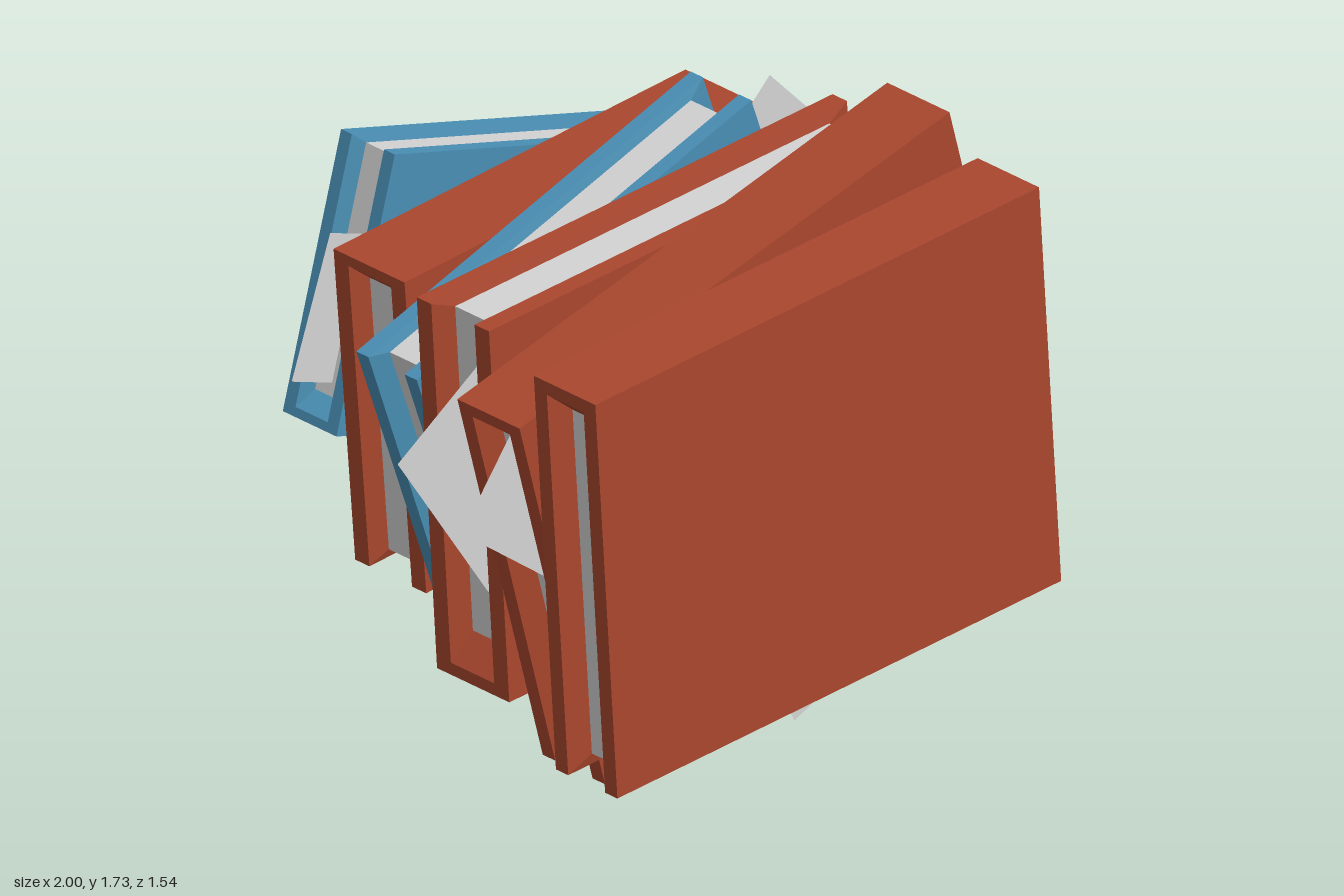
import * as THREE from 'three';

const red = new THREE.MeshStandardMaterial({ color: 0xaa472e });
red.name = 'red cover';
const blue = new THREE.MeshStandardMaterial({ color: 0x4a8fb4 });
blue.name = 'blue cover';
const paper = new THREE.MeshStandardMaterial({ color: 0xd4d4d4 });
paper.name = 'paper';
const sheetPaper = paper.clone();
sheetPaper.name = 'loose paper';
sheetPaper.side = THREE.DoubleSide;

// Board lying in xy from z = 0: full size up to `edge`, then sloping inwards
// to `thick`, with separate insets at the sides, bottom and top.
function board(w, h, edge, thick, side, bottom, top) {
  const geo = new THREE.BoxGeometry(w, h, 2, 1, 1, 2);
  const p = geo.attributes.position;
  for (let i = 0; i < p.count; i++) {
    const layer = Math.round(p.getZ(i)) + 1;
    p.setZ(i, [0, edge, thick][layer]);
    if (layer === 2) {
      p.setX(i, p.getX(i) - Math.sign(p.getX(i)) * side);
      p.setY(i, p.getY(i) + (p.getY(i) < 0 ? bottom : -top));
    }
  }
  const flat = geo.toNonIndexed();
  flat.computeVertexNormals();
  return flat;
}

function named(name, geo, mat) {
  const mesh = new THREE.Mesh(geo, mat);
  mesh.name = name;
  return mesh;
}

// Book standing in the xy plane, spine along its bottom edge
function makeBook(w, h, t, mat) {
  const book = new THREE.Group();
  const side = 0.05 * w, open = 0.03 * h;
  const spineEdge = 0.033 * h, spineIn = 0.096 * h;
  const coverEdge = 0.2 * t, coverIn = 0.235 * t;

  // front and back covers
  for (const s of [1, -1]) {
    const cover = named(s > 0 ? 'frontCover' : 'backCover',
      board(w, h, coverEdge, coverIn, side, spineEdge, open), mat);
    cover.position.z = s * t / 2;
    if (s > 0) cover.rotation.y = Math.PI;
    book.add(cover);
  }
  // spine between the covers
  const spine = named('spine',
    board(w, t - 2 * coverEdge, spineEdge, spineIn, side, coverIn - coverEdge, coverIn - coverEdge), mat);
  spine.rotation.x = -Math.PI / 2;
  spine.position.y = -h / 2;
  book.add(spine);
  // page block
  const pageH = h - open - spineIn;
  const pages = named('pages', new THREE.BoxGeometry(w - 2 * side, pageH, t - 2 * coverIn), paper);
  pages.position.y = h / 2 - open - pageH / 2;
  book.add(pages);
  return book;
}

// Loose sheet given by one corner, its angle and its two side lengths
function makeSheet(x, y, z, angle, u, v) {
  const geo = new THREE.PlaneGeometry(u, v).translate(u / 2, v / 2, 0);
  const sheet = named('looseSheet', geo, sheetPaper);
  sheet.position.set(x, y, z);
  sheet.rotation.z = THREE.MathUtils.degToRad(angle);
  return sheet;
}

export function createModel() {
  const model = new THREE.Group();
  model.name = 'rowOfBooks';

  // centre x, y, z, tilt in degrees, width, height, thickness, spine on top, colour
  const books = [
    [0.003, 0.895, 0.647, 3.85, 1.644, 1.218, 0.245, true, red],
    [0.043, 0.928, 0.399, 15, 1.645, 1.22, 0.248, true, red],
    [0.02, 0.943, 0.124, 3.75, 1.54, 1.147, 0.288, false, red],
    [-0.007, 0.973, -0.141, 19.3, 1.31, 0.97, 0.241, false, blue],
    [0.085, 0.933, -0.405, 4.75, 1.305, 0.968, 0.283, true, red],
    [0.045, 1.03, -0.663, -15.45, 1.085, 0.809, 0.214, false, blue],
  ];
  books.forEach(([x, y, z, tilt, w, h, t, spineTop, mat], i) => {
    const book = makeBook(w, h, t, mat);
    book.name = `book${i + 1}`;
    book.position.set(x, y, z);
    book.rotation.z = THREE.MathUtils.degToRad(tilt + (spineTop ? 180 : 0));
    model.add(book);
  });

  // sheets sticking out of the books
  const sheets = [
    [0.22, 0.002, 0.4, 24, 0.727, 0.5],
    [0.94, 1.3, -0.141, 134, 0.445, 0.5],
    [-1, 0.97, 0.39, -37, 0.5, 0.45],
    [-0.99, 1.08, 0.124, -56, 0.6, 0.5],
    [-0.21, 0.17, -0.405, 24.5, 0.7, 0.4],
    [-0.652, 0.934, -0.663, -19.5, 0.45, 0.426],
  ];
  for (const s of sheets) model.add(makeSheet(...s));
  return model;
}
